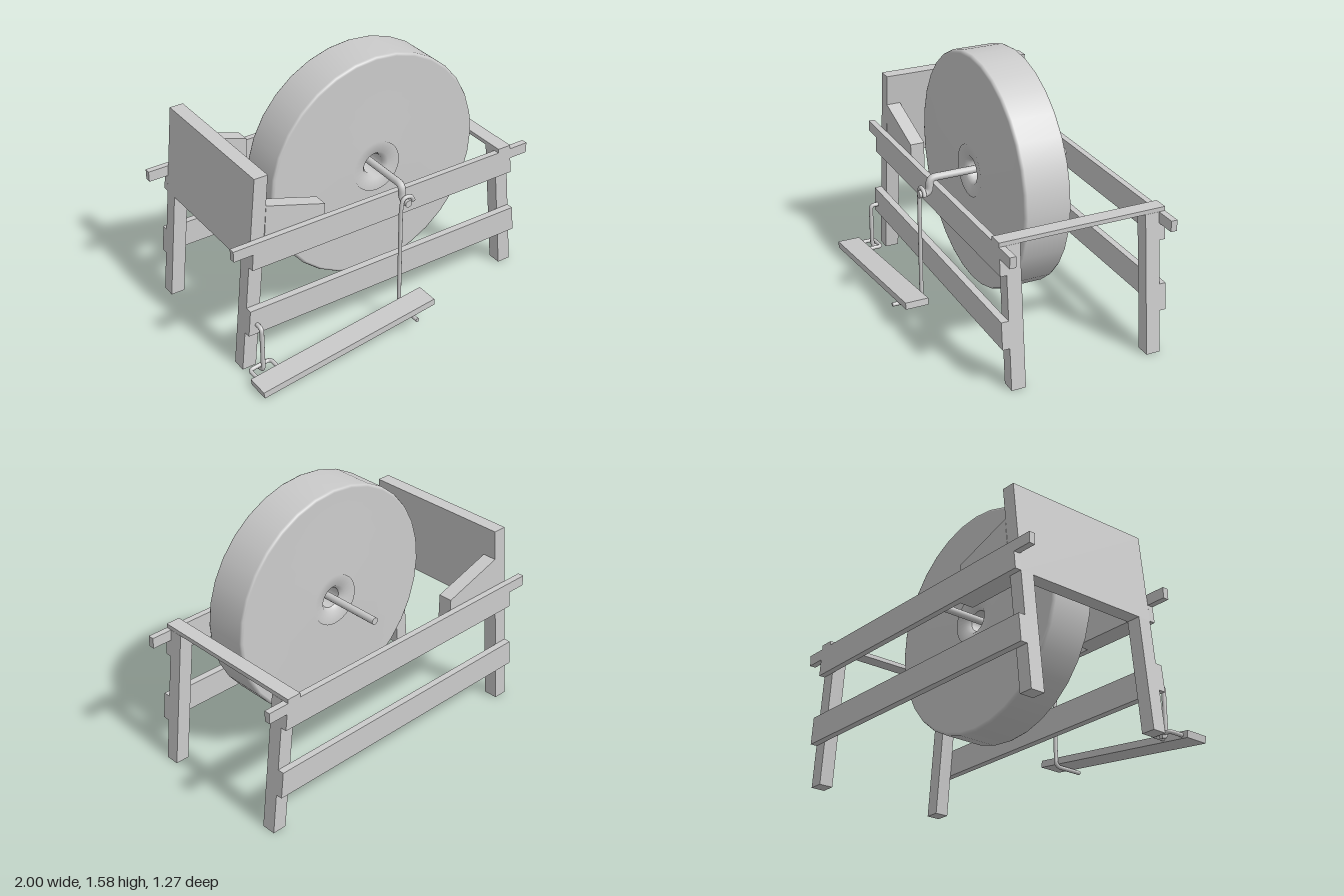
import * as THREE from 'three';

export function createModel() {
  const model = new THREE.Group();
  const mat = new THREE.MeshStandardMaterial({ color: 0xcccccc });

  const add = (name, geometry) => {
    const mesh = new THREE.Mesh(geometry, mat);
    mesh.name = name;
    model.add(mesh);
    return mesh;
  };

  // A side outline [x, y] extruded from z0 to z1
  const plank = (name, pts, z0, z1) => {
    const shape = new THREE.Shape(pts.map(([x, y]) => new THREE.Vector2(x, y)));
    const g = new THREE.ExtrudeGeometry(shape, { depth: z1 - z0, bevelEnabled: false });
    return add(name, g.translate(0, 0, z0));
  };

  // A round bar along straight runs with rounded bends, capped at both ends
  const rod = (name, pts, radius, bend, sides = 12) => {
    const v = pts.map(p => new THREE.Vector3(...p));
    const path = new THREE.CurvePath();
    let from = v[0];
    for (let i = 1; i < v.length - 1; i++) {
      const toward = other => {
        const d = other.clone().sub(v[i]);
        return v[i].clone().add(d.setLength(Math.min(bend, d.length() * 0.48)));
      };
      const a = toward(v[i - 1]), b = toward(v[i + 1]);
      path.add(new THREE.LineCurve3(from, a));
      path.add(new THREE.QuadraticBezierCurve3(a, v[i], b));
      from = b;
    }
    path.add(new THREE.LineCurve3(from, v[v.length - 1]));
    add(name, new THREE.TubeGeometry(path, 80, radius, sides, false));
    [[0, -1], [1, 1]].forEach(([t, sign]) => {
      const cap = add(name + 'End', new THREE.CircleGeometry(radius, sides));
      const p = path.getPointAt(t);
      cap.position.copy(p);
      cap.lookAt(p.clone().addScaledVector(path.getTangentAt(t), sign));
    });
  };

  // Outer edge of the splayed legs at height y
  const edge = y => 0.96 - 0.103 * y;

  // Legs, inside the rails at both sides
  for (const [z0, z1] of [[0.245, 0.33], [-0.595, -0.51]]) {
    for (const s of [-1, 1]) {
      const top = s < 0 ? 0.67 : 0.835;
      plank(s < 0 ? 'leftEndLeg' : 'rightEndLeg', [
        [s * edge(0), 0], [s * edge(top), top],
        [s * (edge(top) - 0.085), top], [s * (edge(0) - 0.085), 0],
      ], z0, z1);
    }
    // Sloping arm beside the backboard
    plank('armWedge', [[-0.80, 0.67], [-0.4, 0.67], [-0.4, 0.9], [-0.77, 1.02]], z0, z1);
  }

  // Upper rails with projecting handles, and lower rails
  for (const [z0, z1, low0, low1] of [[0.33, 0.367, 0.33, 0.373], [-0.632, -0.595, -0.635, -0.595]]) {
    const half = [[edge(0.67), 0.67], [edge(0.77), 0.77], [1, 0.77], [1, 0.835]];
    plank('upperRail', [...half, ...half.map(([x, y]) => [-x, y]).reverse()], z0, z1);
    plank('lowerRail', [
      [-edge(0.25), 0.25], [edge(0.25), 0.25], [edge(0.41), 0.41], [-edge(0.41), 0.41],
    ], low0, low1);
  }

  // Leaning backboard and the flat crossbar at the other end
  plank('backboard', [
    [-edge(0.67), 0.67], [-edge(0.67) + 0.085, 0.67], [-0.752, 1.207], [-0.835, 1.207],
  ], -0.595, 0.33);
  plank('crossbar', [[0.787, 0.835], [0.873, 0.835], [0.873, 0.86], [0.787, 0.86]], -0.632, 0.367);

  // Grinding wheel with a raised hub and an open bore
  const side = [[0.062, 0.11], [0.085, 0.138], [0.155, 0.148], [0.155, 0.138], [0.672, 0.138], [0.684, 0.134], [0.69, 0.122]];
  const profile = [
    ...side.map(([r, h]) => [r, -h]),
    ...side.slice().reverse(),
    [0.062, -0.11],
  ].map(([r, h]) => new THREE.Vector2(r, h));
  const wheel = add('wheel', new THREE.LatheGeometry(profile, 32).rotateX(Math.PI / 2));
  wheel.position.set(0.06, 0.892, 0.015);

  // Axle and crank
  rod('crankAxle', [[0.06, 0.895, -0.45], [0.06, 0.895, 0.408], [0.06, 0.805, 0.408], [0.06, 0.805, 0.475]], 0.022, 0.04);

  // Connecting rod hooked over the crank and passing under the treadle
  rod('connectingRod', [
    [0.105, 0.805, 0.455], [0.09, 0.842, 0.455], [0.03, 0.842, 0.455],
    [0.02, 0.76, 0.455], [0.02, 0.115, 0.455], [0.02, 0.115, 0.638],
  ], 0.012, 0.035);

  // Treadle board
  plank('treadle', [[-0.985, 0.003], [0.163, 0.15], [0.158, 0.19], [-0.99, 0.043]], 0.47, 0.61);

  // Hinge: a bent hanger on the lower rail and a staple on the treadle
  rod('hingeHanger', [
    [-0.88, 0.31, 0.365], [-0.88, 0.31, 0.42], [-0.88, 0.025, 0.42], [-0.88, 0.015, 0.38],
  ], 0.013, 0.03);
  rod('hingeStaple', [
    [-0.947, 0.027, 0.475], [-0.947, 0.027, 0.385], [-0.813, 0.044, 0.385], [-0.813, 0.044, 0.475],
  ], 0.012, 0.025);

  return model;
}
